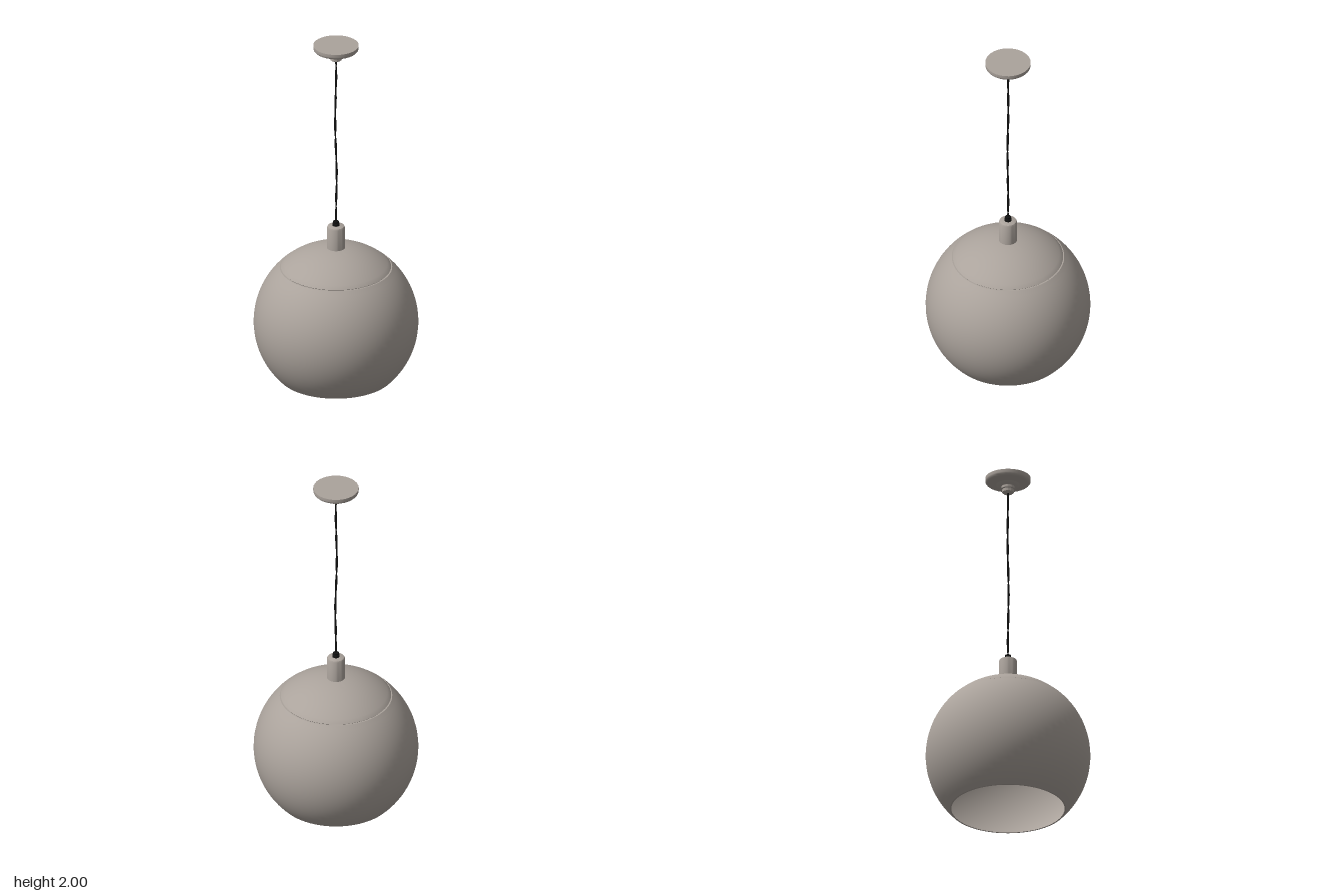
import * as THREE from 'three';
import { toCreasedNormals } from 'three/addons/utils/BufferGeometryUtils.js';

const metal = new THREE.MeshStandardMaterial({ color: 0xaba39c, side: THREE.DoubleSide });
metal.name = 'warm grey metal';
const black = new THREE.MeshStandardMaterial({ color: 0x111111 });
black.name = 'black cord';

const R = 0.452, CENTRE = 0.32, SEAM = 0.65;

// Points on a sphere's profile between two heights, bottom to top
function arc(radius, y0, y1, steps) {
  const a0 = Math.asin((y0 - CENTRE) / radius);
  const a1 = Math.asin(Math.min(1, (y1 - CENTRE) / radius));
  return Array.from({ length: steps + 1 }, (_, i) => {
    const a = a0 + (a1 - a0) * i / steps;
    return [Math.max(0, radius * Math.cos(a)), CENTRE + radius * Math.sin(a)];
  });
}

export function createModel() {
  const lamp = new THREE.Group();
  lamp.name = 'pendantLamp';

  const add = (name, geometry, material) => {
    const mesh = new THREE.Mesh(geometry, material);
    mesh.name = name;
    lamp.add(mesh);
    return mesh;
  };
  // Turned part; profile runs bottom to top along its outside
  const turn = (name, points, material, sides = 48, crease = 0.6) => add(name,
    toCreasedNormals(new THREE.LatheGeometry(points.map(p => new THREE.Vector2(...p)), sides), crease), material);

  // Globe shade with a thin wall, open at the bottom
  const inner = R - 0.006;
  turn('globeShade', [
    ...arc(inner, 0, SEAM, 24).reverse(),
    ...arc(R, 0, SEAM, 24),
    arc(inner, 0, SEAM, 1)[1],
  ], metal, 64);

  // Separate crown closing the top, leaving a fine groove at the seam
  turn('crown', [
    [0.298, SEAM - 0.003], [0.303, SEAM + 0.003],
    ...arc(R - 0.001, SEAM + 0.006, CENTRE + R - 0.001, 14),
  ], metal, 64);

  // Neck with a chamfered top, and cord grip
  turn('neck', [
    [0.05, 0.755], [0.05, 0.89], [0.046, 0.899], [0.038, 0.903], [0, 0.903],
  ], metal, 32);
  turn('cordGrip', [
    [0.02, 0.9], [0.02, 0.915], [0.016, 0.918], [0.016, 0.928], [0.008, 0.932], [0, 0.932],
  ], black, 16);

  // Cord of two loosely twisted strands
  for (const side of [-1, 1]) {
    const path = Array.from({ length: 41 }, (_, i) => {
      const t = i / 40, a = t * Math.PI * 7;
      const sway = 0.004 * Math.sin(Math.PI * t);
      return new THREE.Vector3(
        side * 0.003 * Math.cos(a) - sway * Math.cos(t * 8 + 1.5),
        0.925 + t * 0.995,
        side * 0.003 * Math.sin(a) + sway * Math.sin(t * 8 - 1));
    });
    add(side < 0 ? 'cordStrandRight' : 'cordStrandLeft',
      new THREE.TubeGeometry(new THREE.CatmullRomCurve3(path), 100, 0.0038, 6), black);
  }

  // Ceiling canopy with rounded lip and stepped collar
  turn('ceilingCanopy', [
    [0, 1.96], [0.065, 1.96], [0.08, 1.967], [0.108, 1.967], [0.117, 1.97],
    [0.123, 1.976], [0.125, 1.984], [0.125, 2], [0, 2],
  ], metal, 32);
  turn('canopyCollar', [
    [0, 1.909], [0.026, 1.909], [0.032, 1.914], [0.032, 1.93], [0.037, 1.934],
    [0.037, 1.948], [0.058, 1.955], [0.068, 1.963],
  ], metal, 32);

  return lamp;
}
